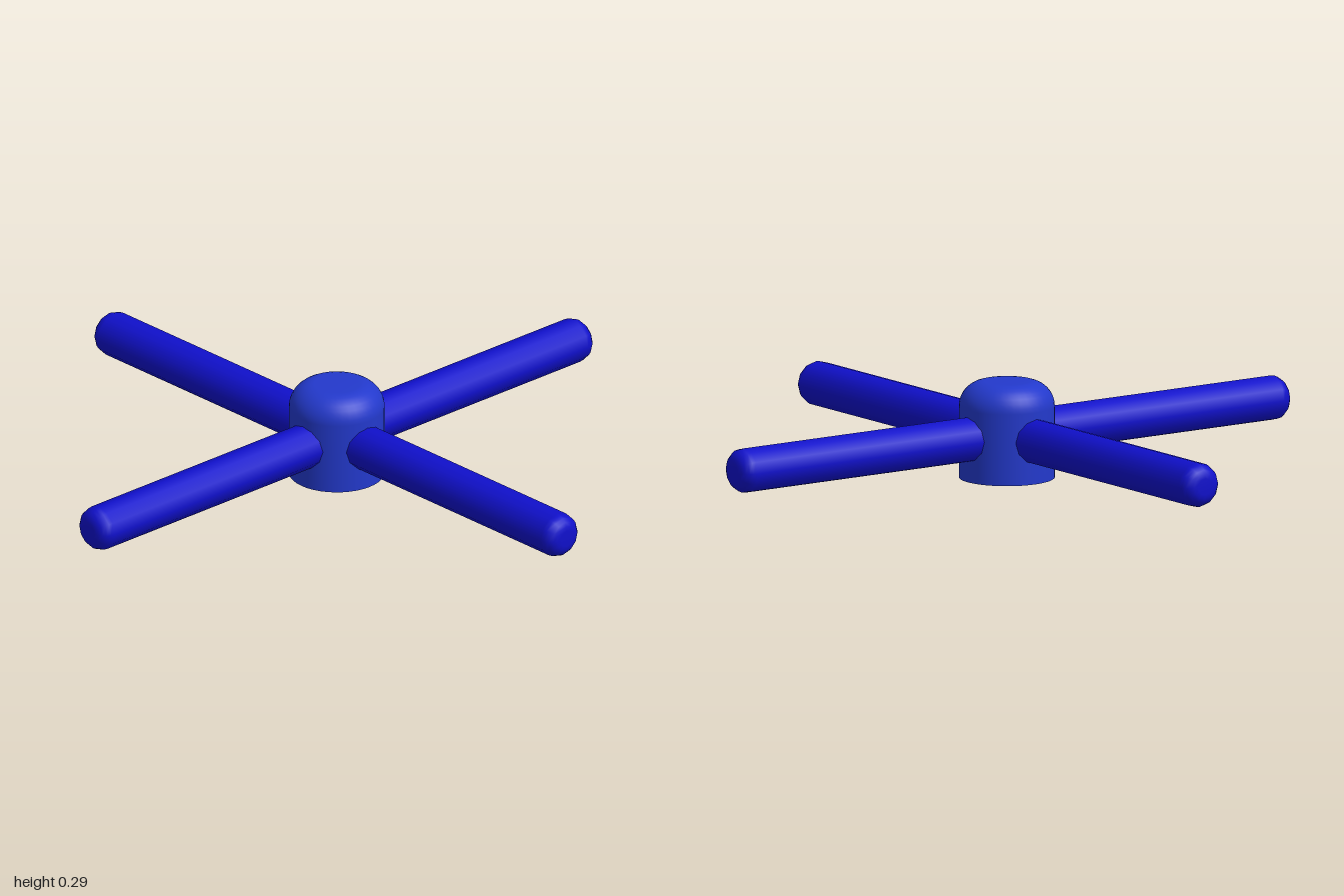
import * as THREE from 'three';

// Quarter-circle rounding from radius r at height y to the flat end
function roundedEnd(r, y, bevel, steps) {
  const pts = [];
  for (let i = 0; i <= steps; i++) {
    const a = (i / steps) * Math.PI / 2;
    pts.push(new THREE.Vector2(r - bevel + bevel * Math.cos(a), y - bevel + bevel * Math.sin(a)));
  }
  pts.push(new THREE.Vector2(0, y));
  return pts;
}

export function createModel() {
  const model = new THREE.Group();
  model.name = 'fourArmHandle';
  const hubMaterial = new THREE.MeshStandardMaterial({ color: 0x2339cc, side: THREE.DoubleSide });
  const armMaterial = new THREE.MeshStandardMaterial({ color: 0x1010cc });

  // Hollow hub: rounded top, open underneath
  const hubProfile = [new THREE.Vector2(0.142, 0), ...roundedEnd(0.142, 0.29, 0.075, 8)];
  const hub = new THREE.Mesh(new THREE.LatheGeometry(hubProfile, 40), hubMaterial);
  hub.name = 'hub';
  hub.position.set(0.007, 0, -0.004);
  model.add(hub);

  // Two crossing bars with rounded ends, forming the four arms
  const end = roundedEnd(0.067, 1, 0.042, 5);
  const start = end.map(p => new THREE.Vector2(p.x, -p.y)).reverse();
  const barGeometry = new THREE.LatheGeometry([...start, ...end], 12);
  barGeometry.rotateZ(-Math.PI / 2);
  ['sideArms', 'frontBackArms'].forEach((name, i) => {
    const bar = new THREE.Mesh(barGeometry, armMaterial);
    bar.name = name;
    bar.position.y = 0.128;
    bar.rotation.y = i * Math.PI / 2;
    model.add(bar);
  });

  return model;
}
